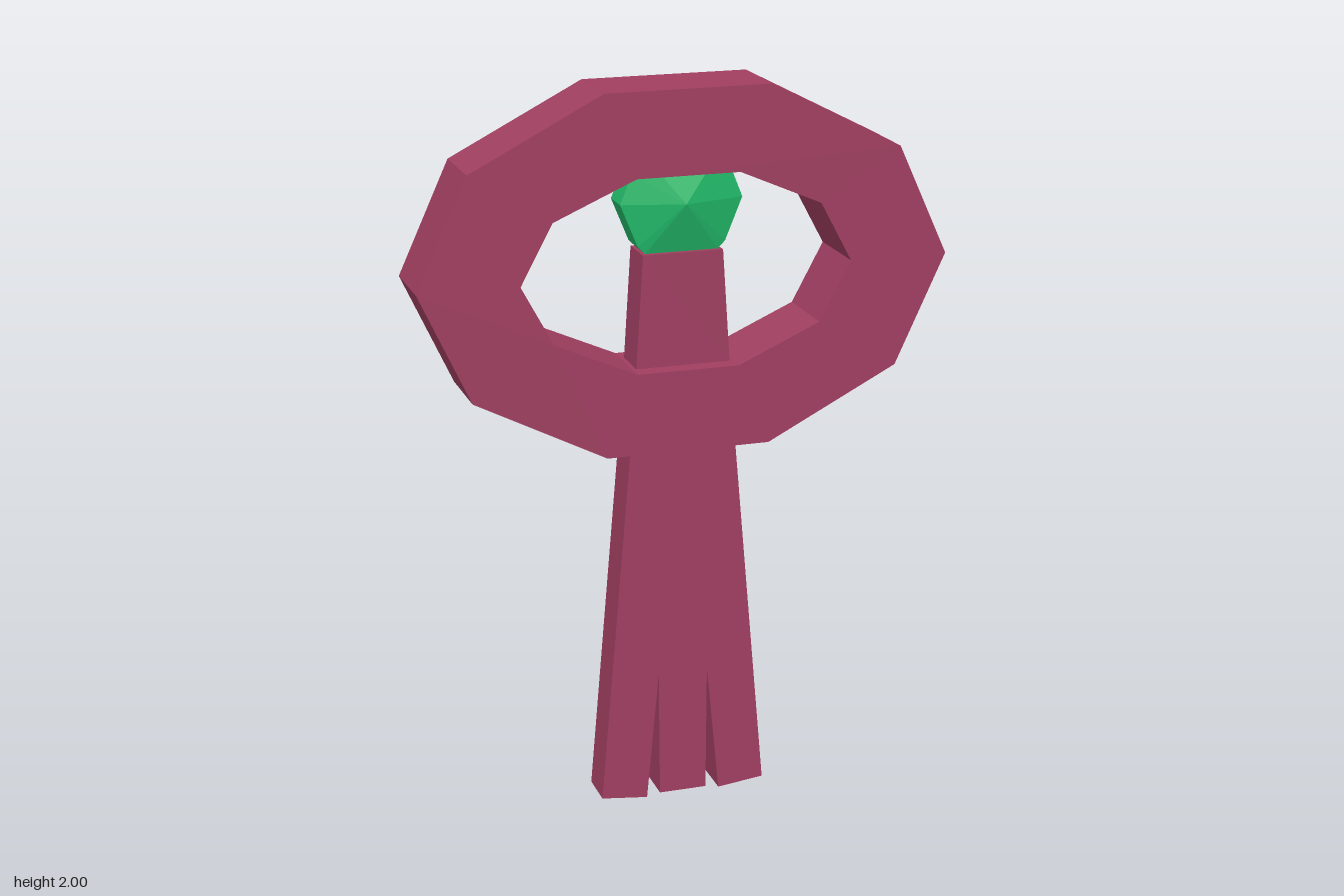
import * as THREE from 'three';
import { ConvexGeometry } from 'three/addons/geometries/ConvexGeometry.js';

// Left half outline (top to bottom) closed by its mirror image, counter-clockwise
const mirrored = (half) => [
  ...half.map(([x, y]) => [-x, y]),
  ...half.toReversed(),
].map(([x, y]) => new THREE.Vector2(x, y));

function plate(outline, depth, hole) {
  const shape = new THREE.Shape(outline);
  if (hole) shape.holes.push(new THREE.Path(hole.toReversed()));
  return new THREE.ExtrudeGeometry(shape, { depth, bevelEnabled: false })
    .translate(0, 0, -depth / 2);
}

export function createModel() {
  const group = new THREE.Group();
  const wine = new THREE.MeshStandardMaterial({ color: 0xa13f61, flatShading: true });
  const green = new THREE.MeshStandardMaterial({ color: 0x22bb6a, flatShading: true });
  const add = (name, geometry, material) => {
    const mesh = new THREE.Mesh(geometry, material);
    mesh.name = name;
    group.add(mesh);
  };

  // Ten-sided oval ring with an oval opening
  const outer = mirrored([[0.225, 2], [0.585, 1.815], [0.723, 1.515], [0.585, 1.215], [0.225, 1.03]]);
  const inner = mirrored([[0.14, 1.775], [0.365, 1.677], [0.452, 1.515], [0.365, 1.353], [0.14, 1.253]]);
  add('ring', plate(outer, 0.21, inner), wine);

  // Tapered shaft ending in three prongs
  const shaft = mirrored([
    [0.11, 1.56], [0.13, 1.253], [0.147, 1.03], [0.235, 0.015],
    [0.105, 0], [0.07, 0.368], [0.067, 0.008],
  ]);
  add('shaft', plate(shaft, 0.112), wine);

  // Gem: flat back, straight rim, shallow pointed front
  const rim = mirrored([[0.11, 1.83], [0.135, 1.775], [0.167, 1.695], [0.12, 1.58], [0.1, 1.56]]);
  const points = rim.flatMap(({ x, y }) => [-0.042, 0.042].map((z) => new THREE.Vector3(x, y, z)));
  points.push(new THREE.Vector3(0, 1.695, 0.085));
  add('gem', new ConvexGeometry(points), green);

  return group;
}
